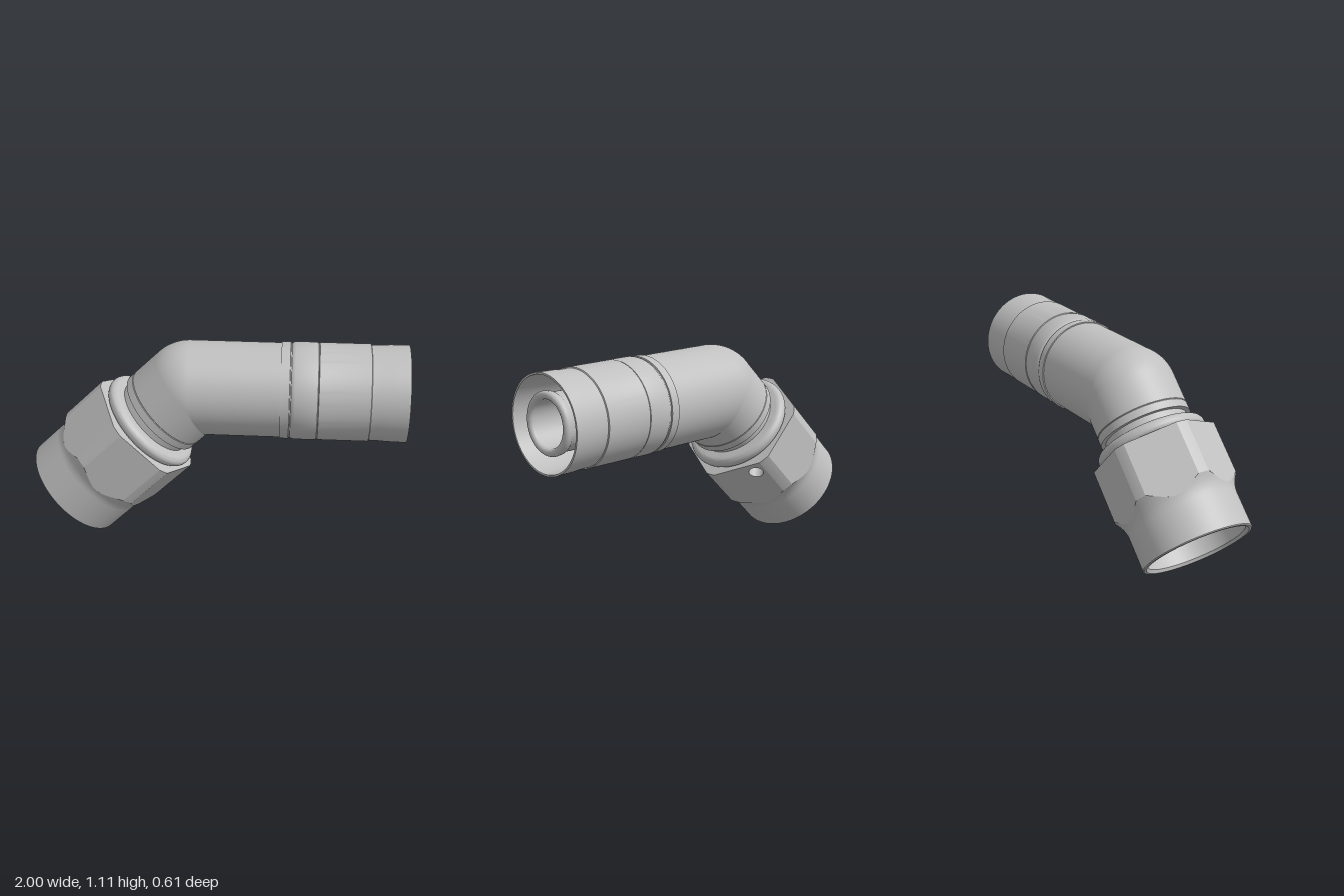
import * as THREE from 'three';
import { toCreasedNormals } from 'three/addons/utils/BufferGeometryUtils.js';
import { ParametricGeometry } from 'three/addons/geometries/ParametricGeometry.js';

const SEG = 96;
const RAD = Math.PI / 180;
const BORE = 0.122;   // inner bore radius
const PIPE = 0.25;    // outer elbow radius
const LEG = 0.911;    // slanted leg length, from nut mouth to bend
const FLAT = 0.305, CORNER = 0.336, HEX_TOP = 0.576; // hexagon sizes

export function createModel() {
  const steel = new THREE.MeshStandardMaterial({ color: 0xc0c0c0, side: THREE.DoubleSide });
  steel.name = 'steel';

  const add = (parent, name, geometry) => {
    const mesh = new THREE.Mesh(geometry, steel);
    mesh.name = name;
    parent.add(mesh);
    return mesh;
  };
  // Turned part from [radius, height] pairs
  const turned = (parent, name, profile) =>
    add(parent, name, toCreasedNormals(
      new THREE.LatheGeometry(profile.map(([r, y]) => new THREE.Vector2(r, y)), SEG), 0.5));
  // Surface swept by a rule
  const surface = (parent, name, rule, slices, stacks) =>
    add(parent, name, toCreasedNormals(new ParametricGeometry(rule, slices, stacks), 0.5));

  const model = new THREE.Group();
  model.name = 'elbowHoseFitting';

  // Slanted leg: local y runs from the nut mouth up to the bend
  const slantedLeg = new THREE.Group();
  slantedLeg.name = 'slantedLeg';
  slantedLeg.position.set(-0.79, 0.211, 0);
  slantedLeg.rotation.z = -Math.PI / 4;
  model.add(slantedLeg);

  const bend = new THREE.Vector3(-0.79 + LEG * Math.SQRT1_2, 0.211 + LEG * Math.SQRT1_2, 0);

  // Straight leg: local y runs from the bend towards +x
  const straightLeg = new THREE.Group();
  straightLeg.name = 'straightLeg';
  straightLeg.position.copy(bend);
  straightLeg.rotation.z = -Math.PI / 2;
  model.add(straightLeg);

  // ---- Swivel nut ----
  const nut = new THREE.Group();
  nut.name = 'swivelNut';
  slantedLeg.add(nut);

  turned(nut, 'nutSkirt', [
    [BORE, 0.2], [0.265, 0.2], [0.265, 0.015], [0.28, 0], [0.293, 0], [0.298, 0.005], [0.298, 0.25],
  ]);

  // Hexagon outline with turned-down corners, and the concave run-out below it
  const hexRadius = (a) => {
    const d = (((a / RAD) % 60) + 60) % 60 - 30;
    return Math.min(FLAT / Math.cos(d * RAD), CORNER);
  };
  const RUN_LOW = 0.19, RUN_HIGH = 0.293, RUN_R = 0.298;
  const runOutStart = (r) =>
    RUN_LOW + (RUN_HIGH - RUN_LOW) * Math.sqrt((r - RUN_R) / (CORNER - RUN_R));
  const polar = (t, r, a, y) => t.set(r * Math.cos(a), y, r * Math.sin(a));

  surface(nut, 'nutRunOut', (u, v, t) => {
    const a = u * Math.PI * 2;
    const k = v * (runOutStart(hexRadius(a)) - RUN_LOW) / (RUN_HIGH - RUN_LOW);
    polar(t, RUN_R + (CORNER - RUN_R) * k * k, a, RUN_LOW + (RUN_HIGH - RUN_LOW) * k);
  }, 216, 6);
  surface(nut, 'nutShoulder', (u, v, t) => {
    const a = u * Math.PI * 2;
    polar(t, 0.2 + (hexRadius(a) - 0.2) * v, a, HEX_TOP);
  }, 216, 1);

  const halfFlat = Math.sqrt(CORNER ** 2 - FLAT ** 2);
  const halfCorner = 30 * RAD - Math.acos(FLAT / CORNER);
  const hole = { x: 0.084, y: 0.506, r: 0.04 };
  for (let k = 0; k < 6; k++) {
    // Flat with a curved lower edge
    const shape = new THREE.Shape();
    shape.moveTo(-halfFlat, HEX_TOP);
    for (let i = 0; i <= 24; i++) {
      const w = halfFlat * (i / 12 - 1);
      shape.lineTo(w, runOutStart(Math.min(Math.hypot(FLAT, w), CORNER)));
    }
    shape.lineTo(halfFlat, HEX_TOP);
    const side = new THREE.Group();
    side.name = 'nutSide';
    side.rotation.y = k * 60 * RAD;
    nut.add(side);
    if (k === 2) {
      // Drilled wire hole
      const circle = new THREE.Path();
      circle.absarc(hole.x, hole.y, hole.r, 0, Math.PI * 2, true);
      shape.holes.push(circle);
      const wall = add(side, 'wireHoleWall',
        new THREE.CylinderGeometry(hole.r, hole.r, 0.06, 32, 1, true).rotateX(Math.PI / 2));
      wall.position.set(hole.x, hole.y, FLAT - 0.03);
      const floor = add(side, 'wireHoleFloor', new THREE.CircleGeometry(hole.r, 32));
      floor.position.set(hole.x, hole.y, FLAT - 0.06);
    }
    add(side, 'nutFlat', new THREE.ShapeGeometry(shape, 16)).position.z = FLAT;
    // Rounded corner strip
    surface(nut, 'nutCorner', (u, v, t) => {
      const a = k * 60 * RAD + (u * 2 - 1) * halfCorner;
      polar(t, CORNER, a, RUN_HIGH + (HEX_TOP - RUN_HIGH) * v);
    }, 6, 1);
  }

  // ---- Rounded collar, neck and slanted tube ----
  const collar = [[0.2, 0.573]];
  for (let i = 0; i <= 14; i++) {
    const a = (i / 14 - 0.5) * Math.PI;
    collar.push([0.26 + 0.035 * Math.cos(a), 0.609 + 0.035 * Math.sin(a)]);
  }
  collar.push([0.22, 0.644]);
  turned(slantedLeg, 'collar', collar);
  turned(slantedLeg, 'neck', [[0.225, 0.57], [0.225, 0.7]]);
  turned(slantedLeg, 'slantedTube', [
    [0.2, 0.69], [PIPE, 0.69], [PIPE, 0.733], [PIPE - 0.003, 0.736], [PIPE, 0.739], [PIPE, LEG],
  ]);

  // ---- Rounded bend ----
  add(model, 'bend', new THREE.SphereGeometry(PIPE, SEG, 48)).position.copy(bend);

  // ---- Straight tube with crimped sleeve; heights are given as x ----
  const alongX = (profile) => profile.map(([x, r]) => [r, x - bend.x]);
  turned(straightLeg, 'straightTube', alongX([[bend.x, PIPE], [0.34, PIPE]]));
  turned(straightLeg, 'crimpSleeve', alongX([
    [0.335, 0.245], [0.335, 0.256], [0.383, 0.256], [0.385, 0.25], [0.391, 0.25], [0.397, 0.255],
    [0.41, 0.258], [0.515, 0.258], [0.528, 0.255], [0.53, 0.252], [0.534, 0.257],
    [0.8, 0.257], [0.803, 0.251], [0.84, 0.251], [0.9, 0.255], [1, 0.257],
    [1, 0.247], [0.8, 0.232], [0.5, 0.232], [0.5, 0.13],
  ]));

  // ---- Hose nipple with rounded lip ----
  const nipple = [[0.5, 0.15], [0.93, 0.15], [0.945, 0.16]];
  for (let i = 0; i <= 12; i++) {
    const a = (i / 12) * Math.PI;
    nipple.push([0.968 + 0.0205 * Math.sin(a), 0.1425 + 0.0205 * Math.cos(a)]);
  }
  turned(straightLeg, 'hoseNipple', alongX(nipple));

  // ---- Mitred bore through both legs ----
  const d = Math.SQRT1_2;
  const rings = [
    { x: 0.968, y: bend.y, nx: 0, ny: 1 },
    { x: bend.x, y: bend.y, nx: -Math.tan(Math.PI / 8), ny: 1 },
    { x: -0.79 + 0.2 * d, y: 0.211 + 0.2 * d, nx: -d, ny: d },
  ];
  surface(model, 'bore', (u, v, t) => {
    const ring = rings[Math.round(v * 2)];
    const c = BORE * Math.cos(u * Math.PI * 2);
    t.set(ring.x + ring.nx * c, ring.y + ring.ny * c, BORE * Math.sin(u * Math.PI * 2));
  }, SEG, 2);

  return model;
}
